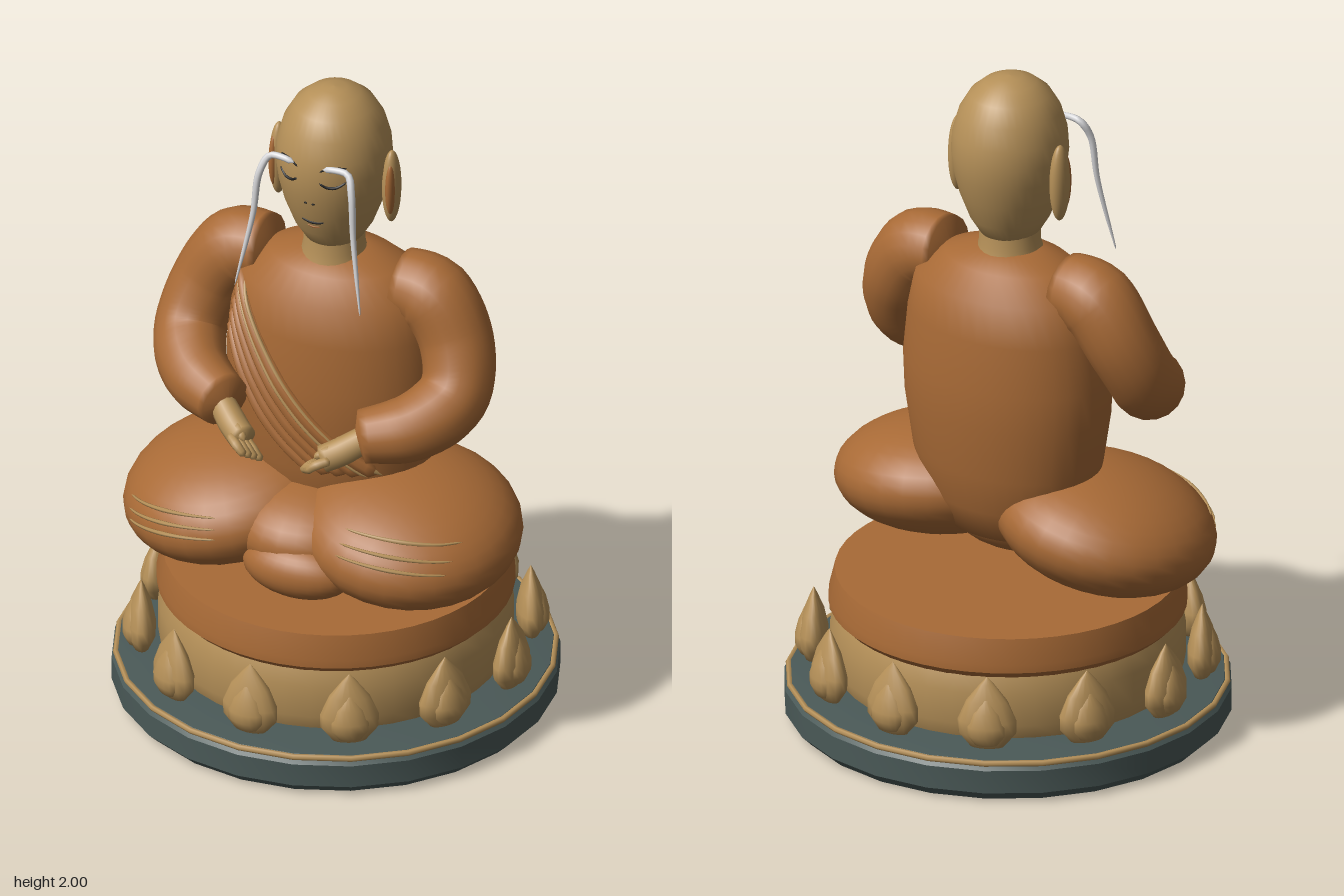
import * as THREE from 'three';
import { mergeVertices, toCreasedNormals } from 'three/addons/utils/BufferGeometryUtils.js';

const mat = (name, color) => {
  const m = new THREE.MeshStandardMaterial({ color });
  m.name = name;
  return m;
};
const V = (x, y, z) => new THREE.Vector3(x, y, z);

// Linear lookup in a list of [radius, height] pairs
function radiusAt(profile, y) {
  for (let i = 1; i < profile.length; i++) {
    const [r0, y0] = profile[i - 1], [r1, y1] = profile[i];
    if (y <= y1 && y1 > y0) return r0 + (r1 - r0) * Math.max(0, (y - y0) / (y1 - y0));
  }
  return 0;
}
const lathe = (profile, sides) =>
  new THREE.LatheGeometry(profile.map(([r, y]) => new THREE.Vector2(r, y)), sides);

// Tube through points whose radius follows a list of values, closed at both ends
function taperTube(points, radii, seg = 24, sides = 16) {
  const curve = new THREE.CatmullRomCurve3(points);
  const geo = new THREE.TubeGeometry(curve, seg, 1, sides);
  const pos = geo.attributes.position, v = V(0, 0, 0);
  for (let i = 0; i <= seg; i++) {
    const c = curve.getPointAt(i / seg);
    const t = (i / seg) * (radii.length - 1), k = Math.min(Math.floor(t), radii.length - 2);
    const end = i === 0 || i === seg;
    const r = end ? 0.0001 : THREE.MathUtils.lerp(radii[k], radii[k + 1], t - k);
    for (let j = 0; j <= sides; j++) {
      const n = i * (sides + 1) + j;
      v.fromBufferAttribute(pos, n).sub(c).multiplyScalar(r).add(c);
      pos.setXYZ(n, v.x, v.y, v.z);
    }
  }
  geo.deleteAttribute('uv');
  geo.deleteAttribute('normal');
  const merged = mergeVertices(geo, 1e-6);
  merged.computeVertexNormals();
  return merged;
}

export function createModel() {
  const robe = mat('robe orange', 0xa86a36);
  const gold = mat('skin gold', 0xb59058);
  const slate = mat('slate', 0x4a5957);
  const white = mat('white hair', 0xd6d6d8);
  const black = mat('black line', 0x1e1e1e);

  const model = new THREE.Group();
  const add = (name, geo, material, parent = model) => {
    const mesh = new THREE.Mesh(geo, material);
    mesh.name = name;
    parent.add(mesh);
    return mesh;
  };
  const ball = (name, material, p, r, parent = model) => {
    const mesh = add(name, new THREE.SphereGeometry(1, 28, 20), material, parent);
    mesh.position.set(...p);
    mesh.scale.set(...r);
    return mesh;
  };

  // Pedestal
  add('base', toCreasedNormals(lathe([[0, 0], [0.615, 0], [0.645, 0.03], [0.645, 0.1],
    [0.625, 0.125], [0.52, 0.135], [0, 0.135]], 24), 0.5), slate);
  const trim = add('baseTrim', new THREE.TorusGeometry(0.632, 0.009, 6, 24), gold);
  trim.rotation.x = Math.PI / 2;
  trim.rotation.z = Math.PI / 2;
  trim.position.y = 0.118;
  add('lotusDrum', lathe([[0.49, 0.13], [0.51, 0.18], [0.51, 0.28], [0.49, 0.335]], 40), gold);
  add('cushion', toCreasedNormals(lathe([[0, 0.325], [0.49, 0.325], [0.515, 0.35], [0.515, 0.375],
    [0.497, 0.45], [0, 0.45]], 48), 0.5), robe);

  // Ring of lotus petals, each with a raised inner leaf
  const petal = lathe([[0, 0], [0.05, 0.008], [0.084, 0.05], [0.085, 0.09], [0.06, 0.15],
    [0.022, 0.2], [0, 0.225]], 16);
  petal.scale(1, 1, 0.5);
  for (let i = 0; i < 12; i++) {
    const g = new THREE.Group();
    g.name = 'petal';
    g.rotation.y = (i * Math.PI) / 6;
    add('petalOuter', petal, gold, g).position.set(0, 0.135, 0.56);
    const inner = add('petalInner', petal, gold, g);
    inner.scale.set(0.68, 0.7, 0.8);
    inner.position.set(0, 0.15, 0.58);
    model.add(g);
  }

  // Crossed legs with fold lines
  for (const s of [-1, 1]) {
    const leg = new THREE.Group();
    leg.name = s > 0 ? 'leftLeg' : 'rightLeg';
    leg.position.set(0.28 * s, s > 0 ? 0.65 : 0.635, 0.09);
    leg.rotation.set(0.12, 0, s > 0 ? -0.12 : 0.2);
    model.add(leg);
    const [a, b, c] = [0.325, 0.175, 0.33];
    ball('thigh', robe, [0, 0, 0], [a, b, c], leg);
    for (let k = 0; k < 3; k++) {
      const pts = [];
      for (let i = 0; i <= 8; i++) {
        const x = s * (-0.1 + 0.32 * i / 8);
        const y = (s > 0 ? 0.07 : 0.035) + 0.027 * k - 0.012 * (i / 4 - 1) ** 2;
        pts.push(V(x, y, c * Math.sqrt(Math.max(0, 1 - (x / a) ** 2 - (y / b) ** 2)) + 0.002));
      }
      add('legFold', taperTube(pts, [0.003, 0.007, 0.003], 20, 6), gold, leg);
    }
  }
  ball('lap', robe, [0, 0.63, 0.13], [0.25, 0.14, 0.26]);
  ball('foot', robe, [0.04, 0.57, 0.33], [0.17, 0.088, 0.095]);

  // Torso
  const torsoProfile = [[0, 0.58], [0.2, 0.6], [0.265, 0.7], [0.3, 0.82], [0.325, 0.98],
    [0.33, 1.1], [0.315, 1.25], [0.29, 1.37], [0.2, 1.435], [0.1, 1.47], [0, 1.471]];
  add('torso', lathe(torsoProfile, 40).scale(1, 1, 0.72), robe);

  // Diagonal sash: padded folds edged with gold
  const sash = (name, k, radius, material, lift) => {
    const pts = [];
    for (let i = 0; i <= 10; i++) {
      const t = i / 10;
      const x = -0.255 - 0.006 * k + (0.465 - 0.036 * k) * t;
      const y = 1.37 - 0.042 * k + (-0.54 + 0.042 * k) * t - 0.045 * Math.sin(Math.PI * t);
      const r = radiusAt(torsoProfile, y);
      pts.push(V(x, y, 0.72 * Math.sqrt(Math.max(0, r * r - x * x)) + lift));
    }
    add(name, taperTube(pts, [radius * 0.7, radius, radius], 30, 8), material);
  };
  for (let k = 0; k < 5; k++) sash('sashFold', k, 0.022, robe, 0);
  sash('sashTrim', -0.35, 0.007, gold, 0.01);
  sash('sashTrim', 0.5, 0.006, gold, 0.016);

  // Arms and hands
  for (const s of [-1, 1]) {
    add(s > 0 ? 'leftSleeve' : 'rightSleeve', taperTube([V(0.19 * s, 1.395, 0),
      V(0.31 * s, 1.375, 0), V(0.395 * s, 1.25, 0.02), V(0.42 * s, 1.12, 0.09),
      V(0.35 * s, 1.055, 0.2), V(0.2 * s, 1.025, 0.29)],
    [0.1, 0.115, 0.11, 0.105, 0.105, 0.095, 0.075], 36, 18), robe);
    const hand = new THREE.Group();
    hand.name = s > 0 ? 'leftHand' : 'rightHand';
    add('palm', taperTube([V(0.24 * s, 1.03, 0.27), V(0.17 * s, 0.985, 0.32),
      V(0.115 * s, 0.96, 0.355)], [0.038, 0.042, 0.04], 12, 12), gold, hand);
    for (let f = 0; f < 4; f++) {
      const o = (f - 1.5) * 0.019;
      add('finger', taperTube([V((0.145 + o * 0.6) * s, 0.965 + o * 0.5, 0.345 + o * 0.7),
        V((0.105 + o * 0.6) * s, 0.95 + o * 0.5, 0.372 + o * 0.7),
        V((0.08 + o * 0.6) * s, 0.925 + o * 0.5, 0.375 + o * 0.7)],
      [0.014, 0.015, 0.011], 10, 8), gold, hand);
    }
    add('thumb', taperTube([V(0.18 * s, 1.0, 0.32), V(0.14 * s, 0.995, 0.35),
      V(0.11 * s, 0.975, 0.37)], [0.014, 0.016, 0.01], 10, 8), gold, hand);
    model.add(hand);
  }

  // Neck and head
  add('neck', lathe([[0.105, 1.43], [0.09, 1.48], [0.088, 1.55]], 24), gold).position.z = 0.01;
  const headProfile = [[0, 1.495], [0.05, 1.498], [0.085, 1.515], [0.115, 1.565], [0.143, 1.64],
    [0.16, 1.71], [0.167, 1.77], [0.163, 1.83], [0.145, 1.895], [0.115, 1.947], [0.075, 1.981],
    [0.035, 1.997], [0, 2]];
  add('head', lathe(headProfile, 40).scale(1, 1, 1.05), gold).position.z = 0.01;

  // Thin line laid on the face
  const faceLine = (name, xy, radius, material = black) => {
    const pts = xy.map(([x, y]) => {
      const r = radiusAt(headProfile, y);
      return V(x, y, 0.011 + 1.05 * Math.sqrt(Math.max(0, r * r - x * x)));
    });
    add(name, taperTube(pts, [radius * 0.6, radius, radius * 0.6], 14, 6), material);
  };
  for (const s of [-1, 1]) {
    faceLine('eyelid', [[0.035 * s, 1.775], [0.055 * s, 1.763], [0.08 * s, 1.762],
      [0.105 * s, 1.778]], 0.005);
    faceLine('browLine', [[0.035 * s, 1.812], [0.065 * s, 1.826], [0.105 * s, 1.822]], 0.004);
    faceLine('nostril', [[0.007 * s, 1.693], [0.012 * s, 1.695], [0.017 * s, 1.693]], 0.003);

    // Long drooping eyebrow
    add('eyebrow', taperTube([V(0.045 * s, 1.823, 0.18), V(0.085 * s, 1.83, 0.178),
      V(0.125 * s, 1.825, 0.178), V(0.147 * s, 1.775, 0.2), V(0.16 * s, 1.64, 0.215),
      V(0.2 * s, 1.41, 0.252)], [0.009, 0.011, 0.01, 0.008, 0.006, 0.002], 36, 8), white);

    // Ears with an inner shell facing forward
    ball('ear', gold, [0.18 * s, 1.71, 0.005], [0.026, 0.118, 0.036]);
    ball('innerEar', robe, [0.186 * s, 1.71, 0.022], [0.015, 0.085, 0.024]);
  }
  faceLine('mouth', [[-0.036, 1.625], [-0.012, 1.62], [0.012, 1.62], [0.036, 1.625]], 0.004);
  faceLine('lowerLip', [[-0.02, 1.604], [0, 1.601], [0.02, 1.604]], 0.003, robe);

  return model;
}
